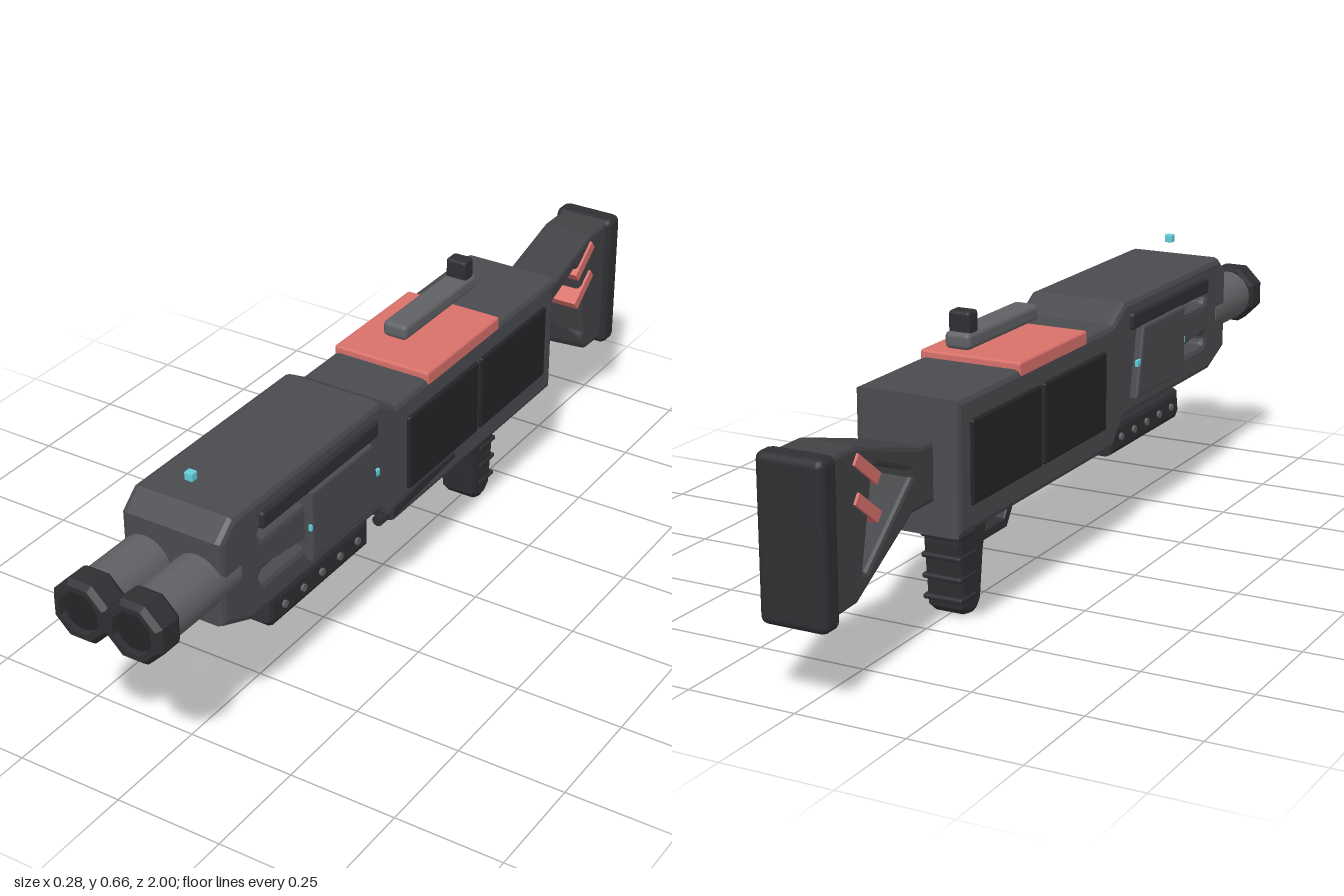
import * as THREE from 'three';
import { RoundedBoxGeometry } from 'three/addons/geometries/RoundedBoxGeometry.js';

const mat = (color, flatShading = false) => new THREE.MeshStandardMaterial({ color, flatShading });
const BODY = mat(0x4a4b4f), DARK = mat(0x2d2f32), PANEL = mat(0x232527), GREY = mat(0x606164);
const RED = mat(0xd8706a), CYAN = mat(0x62cfdd), MUZZLE = mat(0x2d2f32, true), STOCK = mat(0x414245);

export function createModel() {
  const root = new THREE.Group();

  function add(name, geometry, material, x = 0, y = 0, z = 0) {
    const mesh = new THREE.Mesh(geometry, material);
    mesh.name = name;
    mesh.position.set(x, y, z);
    root.add(mesh);
    return mesh;
  }

  // Side outline of [z, y] points, extruded across x and centred, with bevelled edges
  function sideProfile(points, width, bevel = 0.008, holes = []) {
    const shape = new THREE.Shape(points.map(p => new THREE.Vector2(...p)));
    shape.holes = holes.map(h => new THREE.Path(h.map(p => new THREE.Vector2(...p))));
    const g = new THREE.ExtrudeGeometry(shape, {
      depth: width - 2 * bevel, bevelThickness: bevel, bevelSize: bevel,
      bevelOffset: -bevel, bevelSegments: 2,
    });
    g.translate(0, 0, -(width - 2 * bevel) / 2);
    return g.rotateY(-Math.PI / 2);
  }

  // Box given by its limits in x, y and z
  function box(name, material, [x0, x1], [y0, y1], [z0, z1], r = 0.008) {
    return add(name, new RoundedBoxGeometry(x1 - x0, y1 - y0, z1 - z0, 2, r), material,
      (x0 + x1) / 2, (y0 + y1) / 2, (z0 + z1) / 2);
  }

  // Rounded slot outline in the side plane
  function slot(z0, z1, y, r) {
    const pts = [];
    for (let i = 0; i <= 6; i++) {
      const a = Math.PI / 2 + i * Math.PI / 6;
      pts.push([z0 + r + r * Math.cos(a), y + r * Math.sin(a)]);
    }
    for (let i = 0; i <= 6; i++) {
      const a = -Math.PI / 2 + i * Math.PI / 6;
      pts.push([z1 - r + r * Math.cos(a), y + r * Math.sin(a)]);
    }
    return pts;
  }

  // Main housing with vent slots cut right through
  add('housing', sideProfile([
    [-0.57, 0.24], [0.145, 0.24], [0.205, 0.30], [0.69, 0.30], [0.785, 0.34],
    [0.785, 0.535], [0.74, 0.574], [0.205, 0.574], [0.14, 0.535], [-0.57, 0.535],
  ], 0.244, 0.014, [0.49, 0.44, 0.385].map(y => slot(0.45, 0.655, y, 0.014))), BODY);

  // Twin barrels with octagonal muzzles
  const rim = [[0, 0.93], [0.067, 0.93], [0.0735, 0.94], [0.0735, 0.988], [0.063, 1.0], [0.05, 1.0], [0.05, 0.975], [0, 0.975]];
  for (const x of [-0.064, 0.064]) {
    add('barrel', new THREE.CylinderGeometry(0.061, 0.061, 0.22, 24).rotateX(Math.PI / 2), GREY, x, 0.435, 0.83);
    add('muzzle', new THREE.LatheGeometry(rim.map(p => new THREE.Vector2(...p)), 8, Math.PI / 8)
      .rotateX(Math.PI / 2), MUZZLE, x, 0.435, 0);
    add('bore', new THREE.CylinderGeometry(0.045, 0.045, 0.03, 20).rotateX(Math.PI / 2), PANEL, x, 0.435, 0.972);
  }

  // Details mirrored on both flanks
  for (const s of [-1, 1]) {
    const span = (a, b) => s > 0 ? [a, b] : [-b, -a];
    box('sideRail', DARK, span(0.11, 0.133), [0.503, 0.543], [0.225, 0.655]);
    add('sidePlate', sideProfile([[0.23, 0.342], [0.495, 0.342], [0.495, 0.507], [0.265, 0.507]], 0.042, 0.006),
      BODY, s * 0.121);
    box('sideLight', CYAN, span(0.133, 0.1405), [0.416, 0.431], [0.233, 0.498], 0.001);
    box('frontReceiverPanel', PANEL, span(0.11, 0.13), [0.30, 0.483], [-0.205, 0.095], 0.006);
    box('rearReceiverPanel', PANEL, span(0.11, 0.13), [0.30, 0.483], [-0.52, -0.217], 0.006);
    for (let i = 0; i < 5; i++) {
      add('foregripRivet', new THREE.CylinderGeometry(0.009, 0.009, 0.012, 10).rotateZ(Math.PI / 2),
        GREY, s * 0.09, 0.238, 0.25 + i * 0.07);
    }
  }

  // Release lever on the left flank
  add('releaseLever', sideProfile([[-0.105, 0.28], [0.165, 0.258], [0.16, 0.285], [0.05, 0.295], [-0.105, 0.295]], 0.03, 0.004),
    DARK, 0.114);
  add('leverPivot', new THREE.CylinderGeometry(0.013, 0.013, 0.06, 12).rotateX(Math.PI / 2), DARK, 0.108, 0.265, 0.165);

  // Top cover and sights
  box('topCover', RED, [-0.122, 0.122], [0.515, 0.551], [-0.305, 0.01], 0.006);
  box('sightRail', GREY, [-0.031, 0.031], [0.576, 0.614], [-0.36, -0.045], 0.012);
  box('rearSight', DARK, [-0.026, 0.026], [0.585, 0.658], [-0.35, -0.31]);
  box('frontSight', CYAN, [-0.01, 0.01], [0.608, 0.627], [0.7, 0.718], 0.002);

  // Foregrip below the barrels
  add('foregrip', sideProfile([[0.2, 0.2], [0.57, 0.2], [0.587, 0.216], [0.577, 0.274], [0.2, 0.274]], 0.18, 0.014), DARK);

  // Trigger, guard and pistol grip
  add('triggerGuard', sideProfile(
    [[-0.30, 0.228], [-0.29, 0.13], [-0.168, 0.13], [-0.135, 0.178], [-0.135, 0.218]], 0.03, 0.004,
    [[[-0.28, 0.205], [-0.27, 0.153], [-0.18, 0.153], [-0.158, 0.185], [-0.158, 0.2]]]), DARK);
  add('trigger', sideProfile([[-0.265, 0.21], [-0.255, 0.165], [-0.243, 0.165], [-0.24, 0.21]], 0.018, 0.002), DARK);
  add('grip', sideProfile([
    [-0.298, 0.25], [-0.325, 0.13], [-0.338, 0.025], [-0.355, 0.006], [-0.375, 0.001], [-0.4, 0.005],
    [-0.42, 0.022], [-0.436, 0.17], [-0.432, 0.25],
  ], 0.09, 0.012), DARK);
  for (let i = 0; i < 4; i++) {
    box('gripRib', DARK, [-0.048, 0.048], [0.038 + i * 0.048, 0.05 + i * 0.048],
      [-0.433 - i * 0.003, -0.365], 0.005);
  }

  // Shoulder stock with a triangular opening and two clips across it
  add('stock', sideProfile([
    [-0.565, 0.312], [-0.565, 0.445], [-0.62, 0.445], [-0.865, 0.513], [-0.95, 0.513],
    [-0.95, 0.188], [-0.865, 0.192], [-0.655, 0.312],
  ], 0.13, 0.01, [[[-0.657, 0.39], [-0.662, 0.405], [-0.785, 0.452], [-0.802, 0.44], [-0.842, 0.25], [-0.83, 0.246]]]), STOCK);
  box('buttPad', DARK, [-0.078, 0.078], [0.17, 0.52], [-1.0, -0.942], 0.018);
  for (const y of [0.457, 0.378]) {
    const clip = add('stockClip', new THREE.BoxGeometry(0.142, 0.025, 0.1), RED, 0, y, -0.828);
    clip.rotation.x = 0.65;
  }
  return root;
}
